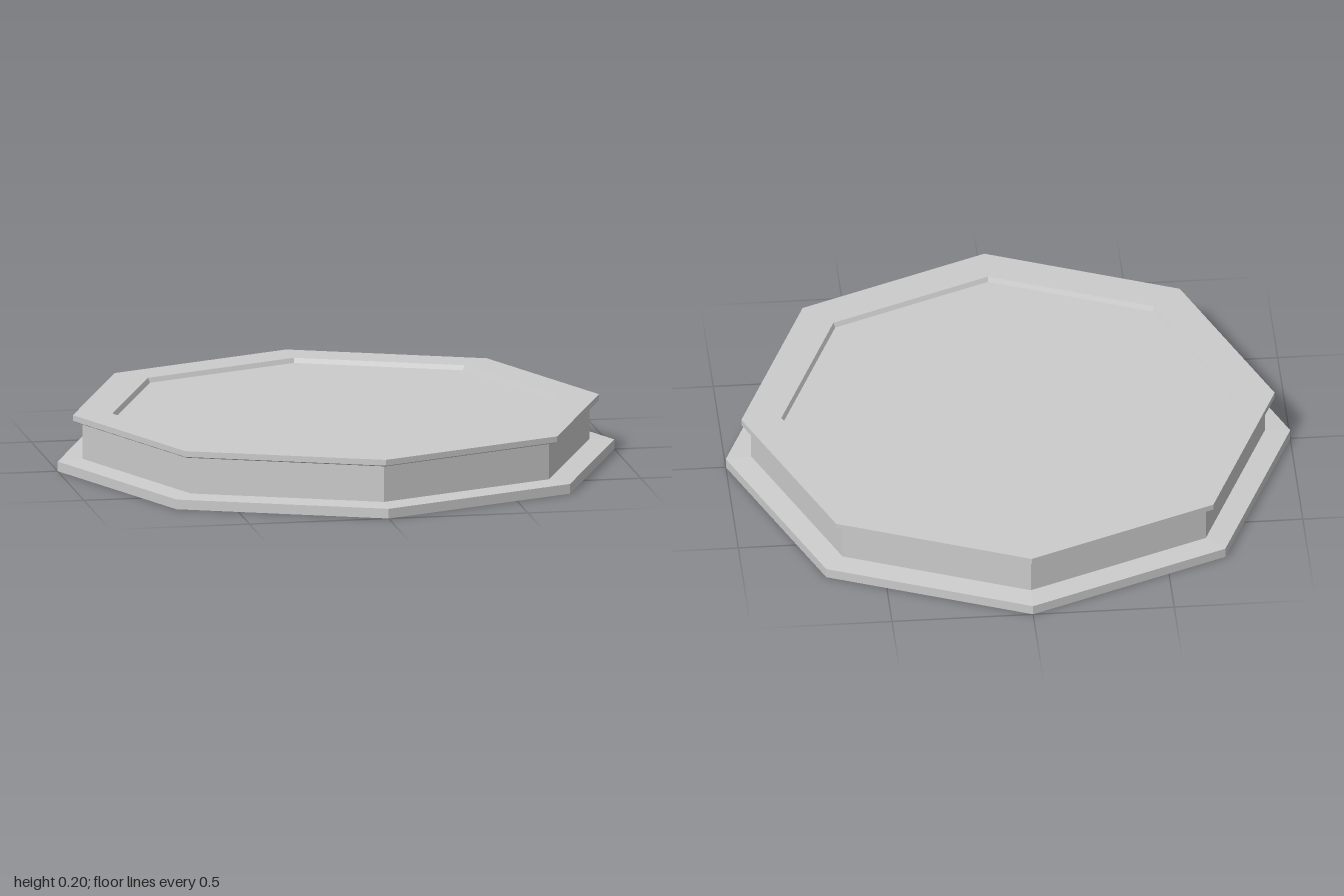
import * as THREE from 'three';

export function createModel() {
  const group = new THREE.Group();
  const material = new THREE.MeshStandardMaterial({ color: 0xcccccc, flatShading: true });

  // Eight-sided turned part; profile runs [radius, height] up the outside
  function octagon(name, profile) {
    const points = profile.map(([r, y]) => new THREE.Vector2(r, y));
    const mesh = new THREE.Mesh(new THREE.LatheGeometry(points, 8), material);
    mesh.name = name;
    group.add(mesh);
  }

  // Wide foot plate with a gently sloping upper face
  octagon('basePlate', [[0, 0], [1, 0], [1, 0.035], [0.91, 0.041]]);

  // Recessed straight wall between the plates
  octagon('bodyWall', [[0.91, 0.041], [0.91, 0.175]]);

  // Overhanging rim, stepping down into the shallow tray
  octagon('topRim', [
    [0.91, 0.175], [0.938, 0.175], [0.945, 0.179], [0.945, 0.2],
    [0.803, 0.2], [0.795, 0.183],
  ]);

  // Floor of the tray
  octagon('trayFloor', [[0.795, 0.183], [0, 0.183]]);

  return group;
}
